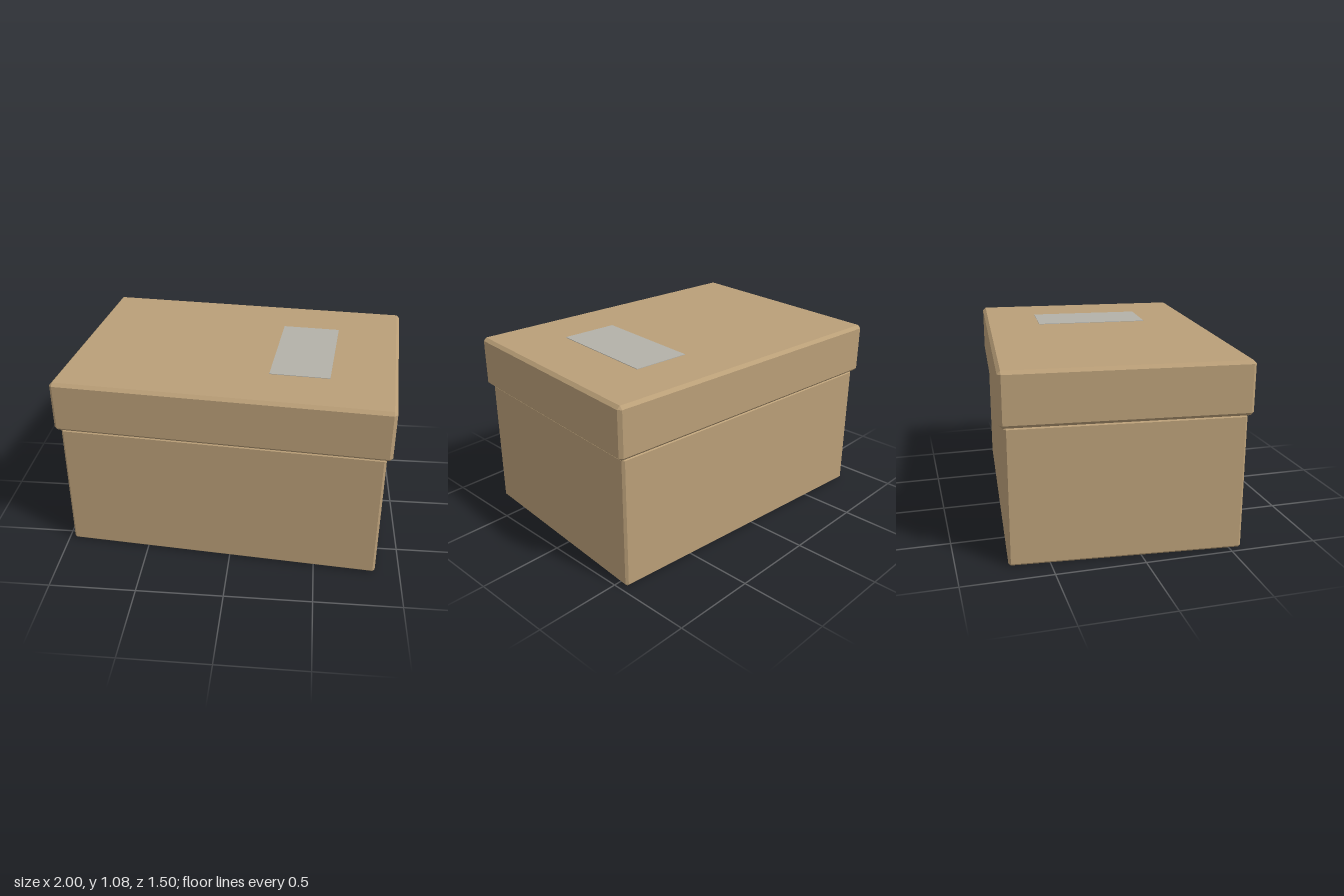
import * as THREE from 'three';
import { ConvexGeometry } from 'three/addons/geometries/ConvexGeometry.js';

// Box with flat chamfers on every edge: three points at each of the eight corners
function chamferBox(w, h, d, c) {
  const points = [];
  for (const sx of [-1, 1]) for (const sy of [-1, 1]) for (const sz of [-1, 1]) {
    for (const [kx, ky, kz] of [[0, c, c], [c, 0, c], [c, c, 0]]) {
      points.push(new THREE.Vector3(sx * (w / 2 - kx), sy * (h / 2 - ky), sz * (d / 2 - kz)));
    }
  }
  return new ConvexGeometry(points);
}

export function createModel() {
  const cardboard = new THREE.MeshStandardMaterial({ color: 0xba9f78 });
  cardboard.name = 'cardboard';
  const paper = new THREE.MeshStandardMaterial({ color: 0xb3b1a9 });
  paper.name = 'label paper';

  const box = new THREE.Group();
  box.name = 'storageBox';
  const add = (name, geometry, material, x, y, z) => {
    const mesh = new THREE.Mesh(geometry, material);
    mesh.name = name;
    mesh.position.set(x, y, z);
    box.add(mesh);
  };

  // Body, the slightly wider lid resting on it, and the label on the lid
  add('body', chamferBox(1.832, 0.78, 1.295, 0.013), cardboard, 0, 0.39, 0);
  add('lid', chamferBox(1.892, 0.3, 1.342, 0.018), cardboard, 0, 0.93, 0);
  add('label', new THREE.BoxGeometry(0.342, 0.004, 0.68), paper, 0.402, 1.081, 0);

  // The box sits slightly turned
  box.rotation.y = THREE.MathUtils.degToRad(-5);
  const model = new THREE.Group();
  model.name = 'model';
  model.add(box);
  return model;
}
